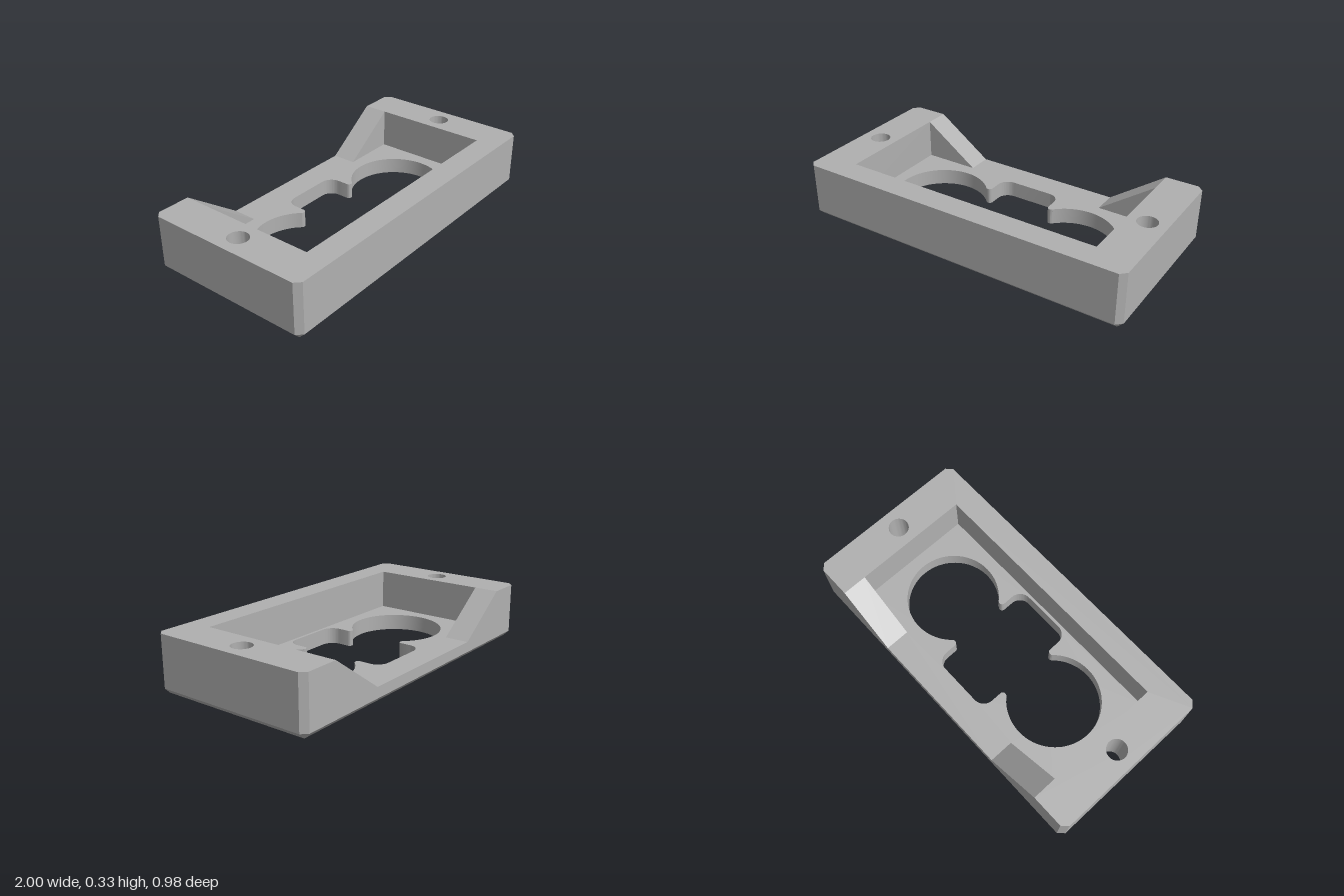
import * as THREE from 'three';
import { mergeGeometries, toCreasedNormals } from 'three/addons/utils/BufferGeometryUtils.js';

// Plan outlines are 2D points (x, y) with y pointing to the back, so z = -y.
const V = (x, y) => new THREE.Vector2(x, y);
const TOP = 0.33, FLOOR = 0.095, BEVEL = 0.033;
const W = 1, D = 0.49, PW = 0.775, PD = 0.345, NOTCH = 0.445;
const HOLE_X = 0.886, HOLE_R = 0.058, SINK_R = 0.079, SINK_Y = 0.025;

const shapeOf = (pts, holes = []) => {
  const s = new THREE.Shape(pts);
  s.holes = holes.map(h => new THREE.Path(h));
  return s;
};

// Flat horizontal face at height y, facing up or down
function flat(pts, holes, y, down = false) {
  const turn = l => (down ? l.map(p => V(p.x, -p.y)) : l);
  const g = new THREE.ShapeGeometry(shapeOf(turn(pts), holes.map(turn)));
  return g.rotateX(down ? Math.PI / 2 : -Math.PI / 2).translate(0, y, 0);
}

// Wall strip between two outlines; counterclockwise outlines face outwards
function band(a, ya, b, yb, closed = true) {
  const pos = [];
  const at = (l, i, y) => new THREE.Vector3(l[i].x, y, -l[i].y);
  const tri = (p, q, r) => {
    if (new THREE.Triangle(p, q, r).getArea() > 1e-9) for (const v of [p, q, r]) pos.push(v.x, v.y, v.z);
  };
  for (let i = 0; i < (closed ? a.length : a.length - 1); i++) {
    const j = (i + 1) % a.length;
    tri(at(a, i, ya), at(a, j, ya), at(b, j, yb));
    tri(at(a, i, ya), at(b, j, yb), at(b, i, yb));
  }
  const g = new THREE.BufferGeometry();
  g.setAttribute('position', new THREE.Float32BufferAttribute(pos, 3));
  return toCreasedNormals(g, 0.6);
}

const circle = (cx, r, n = 48) => Array.from({ length: n }, (_, i) => {
  const t = (i / n) * Math.PI * 2;
  return V(cx + r * Math.cos(t), r * Math.sin(t));
});

// Opening: two round bays joined by a rounded slot, drawn as a mirrored quarter
function openingOutline() {
  const a = Math.atan2(0.195, 0.215);
  const q = new THREE.Path();
  q.absarc(0.43, 0, 0.27, 0, Math.PI - a, false);
  q.absarc(0.215, 0.195, 0.02, -a, -Math.PI, true);
  q.absarc(0.125, 0.258, 0.07, 0, Math.PI / 2, false);
  const pts = q.getPoints(16);
  const m = (sx, sy) => pts.map(p => V(p.x * sx, p.y * sy));
  const all = [...m(1, 1), ...m(-1, 1).reverse(), ...m(-1, -1), ...m(1, -1).reverse()];
  return all.filter((p, i) => p.distanceTo(all[(i + 1) % all.length]) > 1e-5);
}

export function createModel() {
  const group = new THREE.Group();
  const grey = new THREE.MeshStandardMaterial({ color: 0xb0b0b0 });
  grey.name = 'grey';
  const add = (name, ...geos) => {
    const parts = geos.map(g => {
      const n = g.index ? g.toNonIndexed() : g;
      n.deleteAttribute('uv');
      return n;
    });
    const mesh = new THREE.Mesh(mergeGeometries(parts), grey);
    mesh.name = name;
    group.add(mesh);
  };

  const w = W - BEVEL, d = D - BEVEL;
  const opening = openingOutline();
  const holes = r => [-1, 1].map(s => circle(s * HOLE_X, r));
  const outer = [V(-w, D), V(-W, d), V(-W, -d), V(-w, -D), V(w, -D), V(W, -d), V(W, d), V(w, D)];
  const foot = outer.map(p => V(Math.sign(p.x) * w, Math.sign(p.y) * d));

  // Underside and its bevelled rim
  add('underside', flat(foot.filter((_, i) => i % 2), [opening, ...holes(SINK_R)], 0, true));
  add('bottomBevel', band(foot, 0, outer, BEVEL));

  // Front, side and corner walls, and the notched back wall
  add('outerWalls', band(outer, BEVEL, outer, TOP, false));
  const back = [V(-w, BEVEL), V(w, BEVEL), V(w, TOP), V(PW, TOP), V(NOTCH, FLOOR),
    V(-NOTCH, FLOOR), V(-PW, TOP), V(-w, TOP)];
  add('backWall', new THREE.ShapeGeometry(shapeOf(back)).rotateY(Math.PI).translate(0, 0, -D));

  // U-shaped rim, open at the back
  const rim = [...outer, V(PW, D), V(PW, -PD), V(-PW, -PD), V(-PW, D)];
  add('topRim', flat(rim, holes(HOLE_R), TOP));

  // Pocket walls and floor
  const pocket = [V(PW, PD), V(PW, -PD), V(-PW, -PD), V(-PW, PD)];
  add('pocketWalls', band(pocket, FLOOR, pocket, TOP, false));
  const floor = [...pocket, V(-NOTCH, PD), V(-NOTCH, D), V(NOTCH, D), V(NOTCH, PD)];
  add('pocketFloor', flat(floor, [opening], FLOOR));
  const openingIn = [...opening].reverse();
  add('openingWall', band(openingIn, 0, openingIn, FLOOR));

  // Sloping shoulders on both sides of the back notch
  for (const s of [-1, 1]) {
    const low = [V(s * NOTCH, D), V(s * NOTCH, PD)];
    const high = [V(s * PW, D), V(s * PW, PD)];
    if (s < 0) { low.reverse(); high.reverse(); }
    const side = [V(s * PW, TOP), V(s * NOTCH, FLOOR), V(s * PW, FLOOR)];
    add(s > 0 ? 'leftShoulder' : 'rightShoulder', band(low, FLOOR, high, TOP, false),
      new THREE.ShapeGeometry(shapeOf(side)).translate(0, 0, -PD));
  }

  // Countersunk screw holes
  for (const s of [-1, 1]) {
    const bore = circle(s * HOLE_X, HOLE_R).reverse();
    const sink = circle(s * HOLE_X, SINK_R).reverse();
    add(s > 0 ? 'leftScrewHole' : 'rightScrewHole',
      band(sink, 0, bore, SINK_Y), band(bore, SINK_Y, bore, TOP));
  }
  return group;
}
